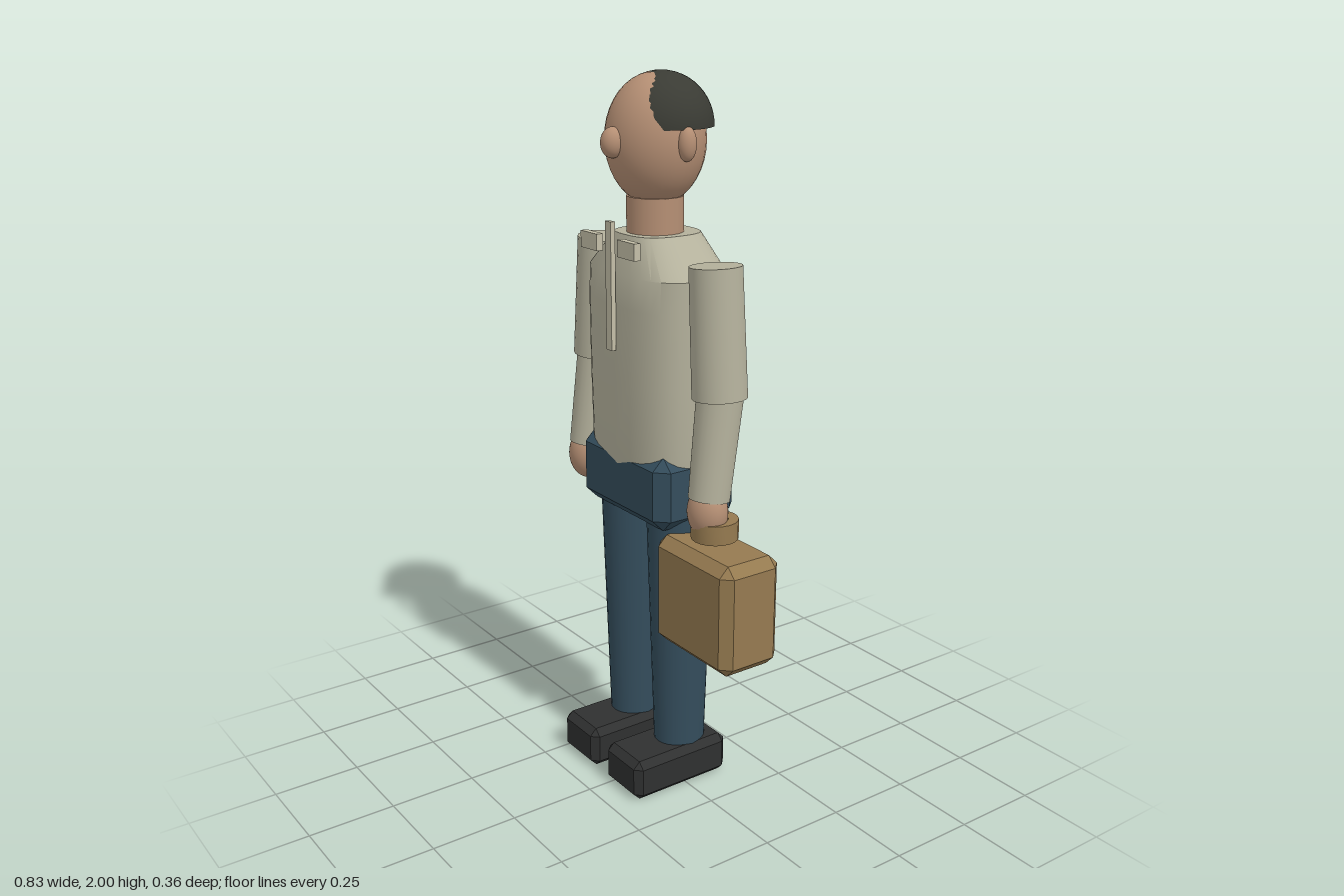
import * as THREE from 'three';
import { ConvexGeometry } from 'three/addons/geometries/ConvexGeometry.js';
import { toCreasedNormals } from 'three/addons/utils/BufferGeometryUtils.js';

const CX = -0.055; // body's centre line
const CZ = -0.026;

const mat = (color) => new THREE.MeshStandardMaterial({ color });
const SKIN = mat(0xb58f74), HAIR = mat(0x3a3b34), SHIRT = mat(0xb4b19c), TRIM = mat(0xc4bfa8);
const PANTS = mat(0x344d5c), SHOE = mat(0x2f3030), CASE = mat(0x957a50);
HAIR.side = THREE.DoubleSide;

// Box with every edge and corner cut off
function chamferBox(w, h, d, c) {
  const points = [];
  for (const sx of [-1, 1]) for (const sy of [-1, 1]) for (const sz of [-1, 1]) {
    const x = w / 2, y = h / 2, z = d / 2;
    for (const [a, b, e] of [[x, y - c, z - c], [x - c, y, z - c], [x - c, y - c, z]]) {
      points.push(new THREE.Vector3(sx * a, sy * b, sz * e));
    }
  }
  return new ConvexGeometry(points);
}

// Loft through rounded-rectangle rings [y, half width, half depth], closed at both ends
function loft(rings, power, n = 32) {
  const pos = [], idx = [];
  const curve = (v) => Math.sign(v) * Math.abs(v) ** (2 / power);
  for (const [y, hx, hz] of rings) {
    for (let i = 0; i < n; i++) {
      const a = (i / n) * Math.PI * 2;
      pos.push(hx * curve(Math.sin(a)), y, hz * curve(Math.cos(a)));
    }
  }
  for (let r = 0; r < rings.length - 1; r++) {
    for (let i = 0; i < n; i++) {
      const a = r * n + i, b = r * n + (i + 1) % n;
      idx.push(a, b, b + n, a, b + n, a + n);
    }
  }
  const top = (rings.length - 1) * n;
  for (let i = 1; i < n - 1; i++) idx.push(0, i + 1, i, top, top + i, top + i + 1);
  const g = new THREE.BufferGeometry();
  g.setAttribute('position', new THREE.Float32BufferAttribute(pos, 3));
  g.setIndex(idx);
  return toCreasedNormals(g, 0.55);
}

export function createModel() {
  const model = new THREE.Group();

  const add = (name, geometry, material, x, y, z) => {
    const mesh = new THREE.Mesh(geometry, material);
    mesh.name = name;
    mesh.position.set(x, y, z);
    model.add(mesh);
    return mesh;
  };
  const ball = (name, material, x, y, z, rx, ry, rz) =>
    add(name, new THREE.SphereGeometry(1, 28, 20), material, x, y, z).scale.set(rx, ry, rz);
  // Tapered limb between two points
  const limb = (name, from, to, rFrom, rTo) => {
    const a = new THREE.Vector3(...from), b = new THREE.Vector3(...to);
    const dir = a.clone().sub(b);
    const mid = a.clone().add(b).multiplyScalar(0.5);
    const mesh = add(name, new THREE.CylinderGeometry(rFrom, rTo, dir.length(), 24), SHIRT, mid.x, mid.y, mid.z);
    mesh.quaternion.setFromUnitVectors(new THREE.Vector3(0, 1, 0), dir.normalize());
  };

  // Head
  ball('head', SKIN, CX, 1.825, -0.023, 0.138, 0.172, 0.133);
  ball('nose', SKIN, CX, 1.825, 0.112, 0.03, 0.04, 0.032);
  const hair = new THREE.SphereGeometry(1, 32, 12, 0, Math.PI * 2, 0, Math.PI / 2);
  add('hair', hair, HAIR, CX, 1.86, -0.042).scale.set(0.147, 0.14, 0.135);
  add('neck', new THREE.CylinderGeometry(0.077, 0.077, 0.13, 24), SKIN, CX, 1.615, -0.022);

  // Shirt and hips
  const rings = [
    [0.85, 0.18, 0.125], [0.92, 0.198, 0.133], [1.0, 0.206, 0.14], [1.2, 0.211, 0.143],
    [1.4, 0.215, 0.143], [1.485, 0.215, 0.138], [1.585, 0.105, 0.105],
  ];
  add('torso', loft(rings, 2.8), SHIRT, CX, 0, -0.03);
  add('placket', new THREE.BoxGeometry(0.026, 0.345, 0.014), TRIM, CX, 1.452, 0.122);
  add('hips', chamferBox(0.4, 0.21, 0.27, 0.035), PANTS, -0.052, 0.905, -0.029);

  for (const [side, s] of [['left', 1], ['right', -1]]) {
    const at = (offset) => CX + s * offset;
    ball(side + 'Ear', SKIN, at(0.138), 1.825, -0.024, 0.025, 0.045, 0.025);
    add(side + 'Collar', new THREE.BoxGeometry(0.078, 0.045, 0.02), TRIM, at(0.087), 1.562, 0.123);

    // Arm
    limb(side + 'UpperArm', [at(0.262), 1.533, -0.025], [at(0.286), 1.19, -0.025], 0.07, 0.074);
    limb(side + 'Forearm', [at(0.286), 1.25, -0.032], [at(0.293), 0.92, 0.012], 0.064, 0.056);
    ball(side + 'Hand', SKIN, at(0.294), 0.885, 0.017, 0.059, 0.074, 0.053);

    // Leg and shoe
    add(side + 'Leg', new THREE.CylinderGeometry(0.088, 0.067, 0.76, 24), PANTS, at(0.113), 0.475, CZ)
      .scale.z = 1.12;
    add(side + 'Shoe', chamferBox(0.17, 0.12, 0.32, 0.02), SHOE, at(0.113), 0.06, 0.02);
  }

  // Case with a ring handle around the left hand
  add('case', chamferBox(0.326, 0.315, 0.192, 0.028), CASE, 0.25, 0.63, -0.008);
  const ring = [[0.036, -0.027], [0.064, -0.027], [0.064, 0.027], [0.036, 0.027], [0.036, -0.027]]
    .map(([r, y]) => new THREE.Vector2(r, y));
  add('caseHandle', toCreasedNormals(new THREE.LatheGeometry(ring, 20), 0.6), CASE, 0.247, 0.837, -0.002);

  return model;
}
